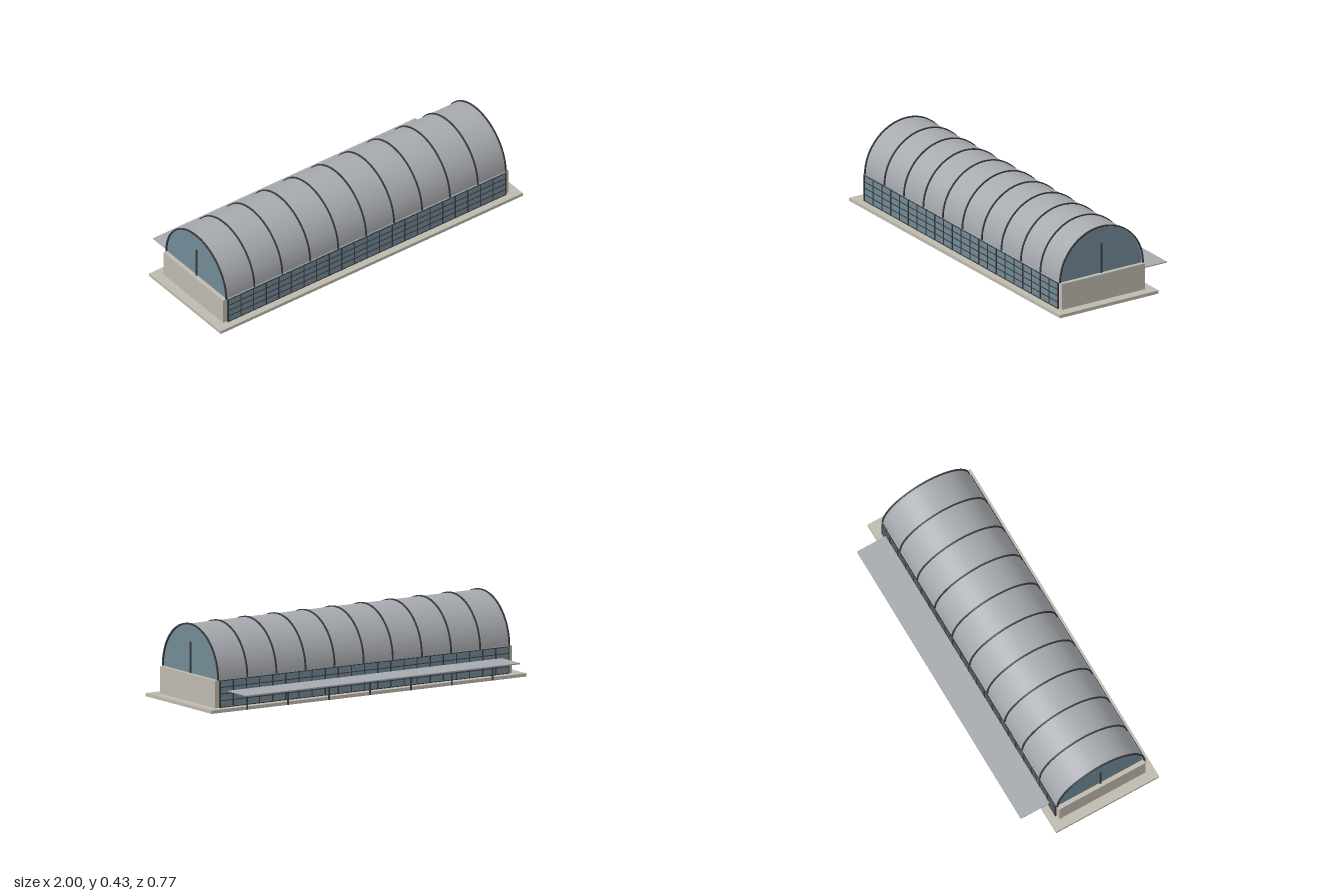
import * as THREE from 'three';

const mat = (color, side = THREE.FrontSide) => new THREE.MeshStandardMaterial({ color, side });

export function createModel() {
  const model = new THREE.Group();
  const concrete = mat(0xbdb9ae);
  const glass = mat(0x728a96, THREE.DoubleSide);
  const metal = mat(0xa6a9ae, THREE.DoubleSide);
  const steel = mat(0x3a3b3f);

  const zc = 0.07;          // hall axis
  const floor = 0.018;      // top of slab
  const spring = 0.165;     // where the vault starts
  const half = 0.2635;      // half width of the hall

  const add = (name, geometry, material, x = 0, y = 0, z = 0, parent = model) => {
    const mesh = new THREE.Mesh(geometry, material);
    mesh.name = name;
    mesh.position.set(x, y, z);
    parent.add(mesh);
    return mesh;
  };
  const box = (name, material, w, h, d, x, y, z, parent) =>
    add(name, new THREE.BoxGeometry(w, h, d), material, x, y, z, parent);

  // Foundation slab
  box('foundationSlab', concrete, 2, floor, 0.63, 0, floor / 2, zc);

  // Gable ends: low wall, half-round window and centre post
  const wallH = spring - floor;
  const wallY = (spring + floor) / 2;
  for (const s of [-1, 1]) {
    box('endWall', concrete, 0.026, wallH, half * 2, s * 0.932, wallY, zc);
    const pane = add('gableWindow', new THREE.CircleGeometry(0.257, 64, 0, Math.PI), glass, s * 0.921, spring, zc);
    pane.rotation.y = s * Math.PI / 2;
    box('gablePost', steel, 0.009, 0.333, 0.009, s * 0.924, 0.1665, zc);
  }

  // Vaulted roof: half cylinder lying along x
  const vault = new THREE.CylinderGeometry(0.262, 0.262, 1.85, 64, 1, true, 0, Math.PI);
  vault.rotateZ(Math.PI / 2);
  add('vaultedRoof', vault, metal, 0, spring, zc);

  // Arched ribs over the roof
  const ribShape = new THREE.Shape();
  ribShape.absarc(0, 0, 0.268, 0, Math.PI, false);
  ribShape.absarc(0, 0, 0.2605, Math.PI, 0, true);
  const ribGeo = new THREE.ExtrudeGeometry(ribShape, { depth: 0.008, bevelEnabled: false, curveSegments: 48 });
  ribGeo.translate(0, 0, -0.004).rotateY(Math.PI / 2);
  for (let i = 0; i < 11; i++) add('roofRib', ribGeo, steel, -0.925 + i * 0.185, spring, zc);

  // Glazed long sides with a grid of bars
  const length = 1.836, columns = 22, rows = 4;
  for (const s of [-1, 1]) {
    const side = new THREE.Group();
    side.name = s > 0 ? 'frontGlazing' : 'backGlazing';
    model.add(side);
    box('glassBand', glass, length, wallH, 0.006, 0, wallY, zc + s * 0.268, side);
    const barZ = zc + s * 0.271;
    for (let i = 0; i <= columns; i++)
      box('mullion', steel, 0.005, wallH, 0.009, (i / columns - 0.5) * length, wallY, barZ, side);
    for (let j = 0; j <= rows; j++)
      box('glazingBar', steel, length, 0.004, 0.008, 0, floor + 0.002 + (j / rows) * (wallH - 0.004), barZ, side);
  }

  // Flat canopy along the back, carried on slim posts
  box('canopyRoof', metal, 1.737, 0.006, 0.175, 0, 0.104, -0.298);
  const postGeo = new THREE.CylinderGeometry(0.005, 0.005, 0.099, 12);
  for (let i = 0; i < 7; i++) add('canopyPost', postGeo, steel, (i - 3) * 0.26, 0.0525, -0.255);

  return model;
}
